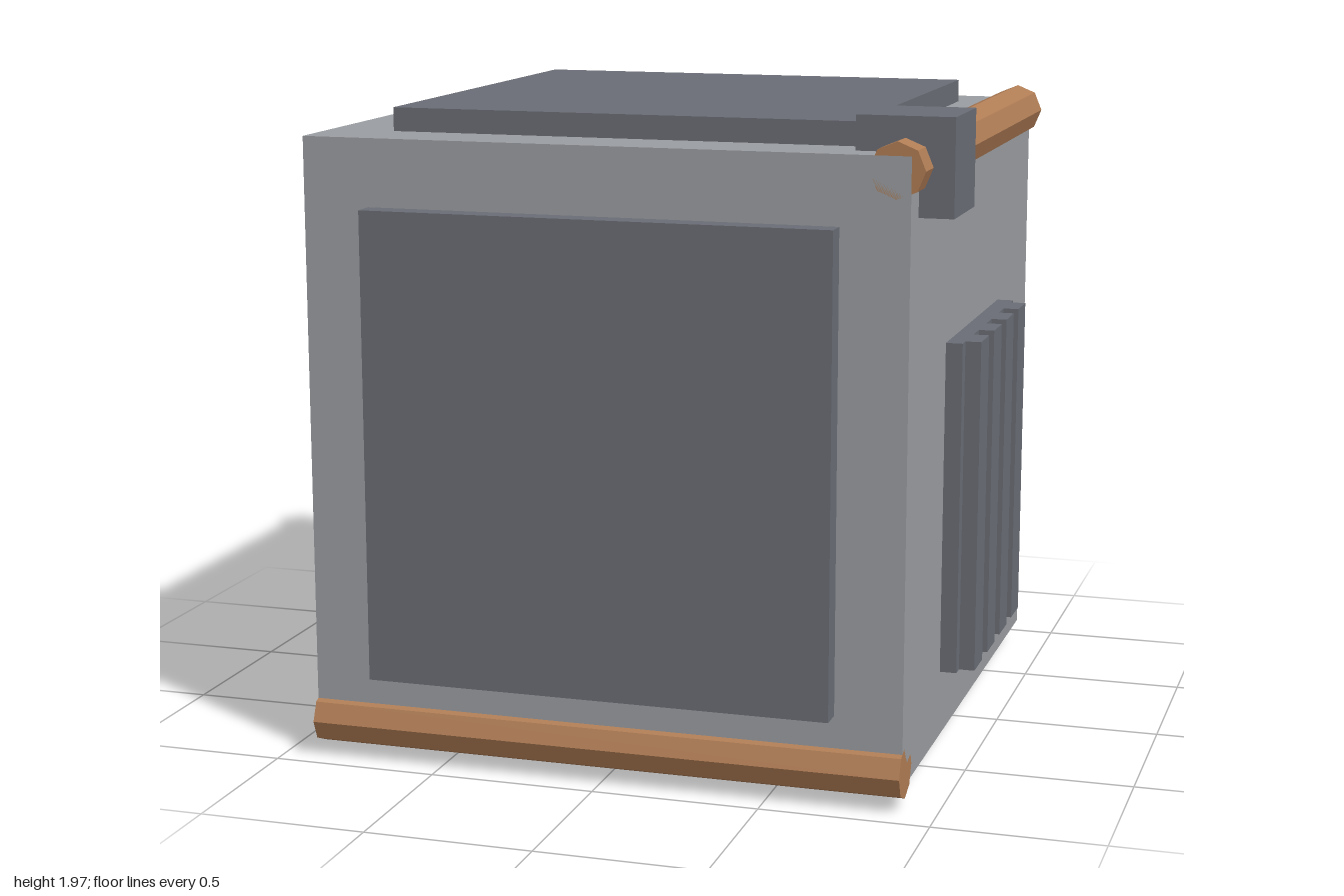
import * as THREE from 'three';

const COLORS = {
  shell: 0x9a9da1, panel: 0x6a6d75, copper: 0xb07d55,
  dark: 0x44484f, amber: 0xd4a84a, cyan: 0x72c8d2,
};
const CY = 0.974, CZ = 0.014;      // centre of the cube
const H = 0.9;                     // half its side
const PANEL = 1.4, THICK = 0.07;   // raised panels
const EDGE = H - 0.04;             // pipe axis, just inside the cube's edges

export function createModel() {
  const model = new THREE.Group();
  model.name = 'crate';
  // everything inside is placed relative to the cube's centre
  const body = new THREE.Group();
  body.name = 'crateBody';
  body.position.set(0, CY, CZ);
  model.add(body);

  const mats = {};
  for (const key in COLORS) {
    mats[key] = new THREE.MeshStandardMaterial({ color: COLORS[key], flatShading: true });
  }

  function add(name, geometry, mat, x, y, z) {
    const mesh = new THREE.Mesh(geometry, mats[mat]);
    mesh.name = name;
    mesh.position.set(x, y, z);
    body.add(mesh);
    return mesh;
  }
  const box = (name, mat, size, pos) => add(name, new THREE.BoxGeometry(...size), mat, ...pos);
  const pipe = (name, pos) =>
    add(name, new THREE.CylinderGeometry(0.08, 0.08, 2 * H, 8), 'copper', ...pos);

  // cube shell
  box('shell', 'shell', [2 * H, 2 * H, 2 * H], [0, 0, 0]);

  // raised panels on five faces
  const out = H + THICK / 2;
  box('frontPanel', 'panel', [PANEL, PANEL, THICK], [0, 0, out]);
  box('backPanel', 'panel', [PANEL, PANEL, THICK], [0, 0, -out]);
  box('topPanel', 'panel', [PANEL, THICK, PANEL], [0, out, 0]);
  box('bottomPanel', 'panel', [PANEL, THICK, PANEL], [0, -out, 0]);
  box('rightPanel', 'panel', [THICK, PANEL, PANEL], [-out, 0, 0]);

  // vent on the left face: a plate with four upright ribs
  box('ventPlate', 'panel', [0.05, 1, 0.8], [H + 0.025, -0.2, 0]);
  for (let i = 0; i < 4; i++) {
    box('ventRib', 'panel', [0.05, 1, 0.12], [H + 0.072, -0.2, 0.3 - 0.2 * i]);
  }

  // slim dark strip near the front of the right panel
  box('sideStrip', 'dark', [0.073, 0.68, 0.075], [-H - 0.0365, -0.4, 0.605]);

  // light strips on the back panel
  box('amberStrip', 'amber', [0.8, 0.12, 0.03], [-0.2, 0.5, -H - THICK - 0.014]);
  box('cyanStrip', 'cyan', [0.6, 0.1, 0.03], [0, -0.4, -H - THICK - 0.014]);

  // eight-sided pipes along three edges
  pipe('frontPipe', [0, -EDGE, EDGE]).rotation.z = Math.PI / 2;
  pipe('topPipe', [EDGE, EDGE, 0]).rotation.x = Math.PI / 2;
  pipe('backPipe', [-EDGE, 0, -EDGE]);

  // clamps around two of the pipes
  box('topClamp', 'panel', [0.28, 0.28, 0.28], [EDGE, EDGE, 0.664]);
  box('backClamp', 'panel', [0.28, 0.28, 0.28], [-EDGE, 0.62, -EDGE]);

  return model;
}
